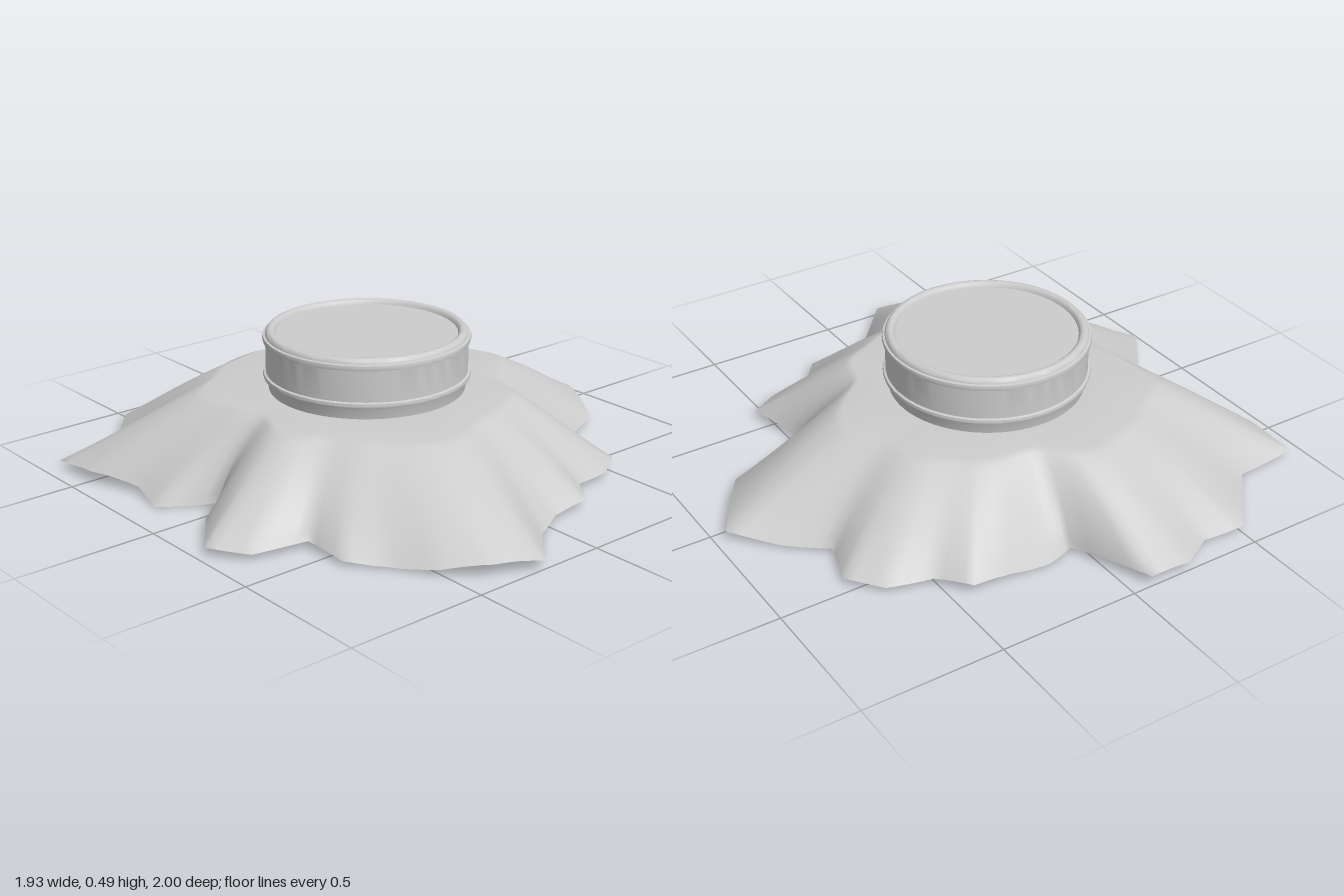
import * as THREE from 'three';
import { toCreasedNormals } from 'three/addons/utils/BufferGeometryUtils.js';

const CX = -0.07, CZ = -0.04; // axis of the lid
const CLOTH_TOP = 0.28;

// Ragged hem of the cloth, [x, z], once around
const HEM = [
  [-0.22, -1], [-0.07, -1], [0.04, -0.71], [0.14, -0.73], [0.43, -0.73], [0.51, -0.62],
  [0.66, -0.57], [0.75, -0.46], [0.70, -0.29], [0.83, -0.18], [0.96, -0.04], [0.79, 0.23],
  [0.61, 0.29], [0.48, 0.35], [0.54, 0.57], [0.43, 0.64], [0.29, 0.65], [0.20, 0.76],
  [0.06, 0.76], [-0.06, 0.82], [-0.23, 1], [-0.39, 0.94], [-0.51, 0.83], [-0.60, 0.68],
  [-0.69, 0.58], [-0.69, 0.41], [-0.88, 0.37], [-0.97, 0.25], [-0.85, 0.08], [-0.71, -0.04],
  [-0.88, -0.17], [-0.86, -0.30], [-0.93, -0.49], [-0.94, -0.68], [-0.71, -0.69],
  [-0.51, -0.93], [-0.35, -0.92],
];

// Hem split into short steps, as angle and radius about the lid axis
function hemPolar(steps) {
  const out = [];
  HEM.forEach(([x0, z0], i) => {
    const [x1, z1] = HEM[(i + 1) % HEM.length];
    for (let k = 0; k < steps; k++) {
      const x = x0 + (x1 - x0) * k / steps - CX, z = z0 + (z1 - z0) * k / steps - CZ;
      out.push({ a: Math.atan2(z, x), r: Math.hypot(x, z) });
    }
  });
  return out;
}

// Hem radius averaged over neighbouring directions
function smoothRadius(hem, angle, width) {
  let sum = 0, total = 0;
  for (const h of hem) {
    const d = Math.atan2(Math.sin(h.a - angle), Math.cos(h.a - angle)) / width;
    const w = Math.exp(-d * d);
    sum += h.r * w;
    total += w;
  }
  return sum / total;
}

// Draped cloth: flat disc that folds down from a wavy crest to the hem
function clothGeometry() {
  const hem = hemPolar(4), n = hem.length;
  const FLAT = 3, FALL = 12, rings = FLAT + FALL;
  const pos = [], index = [];
  const soft = hem.map(h => smoothRadius(hem, h.a, 0.13));
  for (let i = 0; i <= rings; i++) {
    hem.forEach((h, j) => {
      const crest = 0.42 + 0.4 * (soft[j] - 0.65);
      let r, y = CLOTH_TOP;
      if (i <= FLAT) {
        r = crest * i / FLAT;
      } else {
        const t = (i - FLAT) / FALL;
        const edge = soft[j] + (h.r - soft[j]) * t * t;
        const hemY = 0.022 + 0.012 * Math.sin(h.a * 7 + 1) + 0.01 * Math.sin(h.a * 11);
        r = crest + (edge - crest) * t;
        y += (hemY - CLOTH_TOP) * Math.pow(t, 1.2);
      }
      pos.push(CX + r * Math.cos(h.a), y, CZ + r * Math.sin(h.a));
    });
  }
  for (let i = 0; i < rings; i++) {
    for (let j = 0; j < n; j++) {
      const a = i * n + j, b = i * n + (j + 1) % n, c = a + n, d = b + n;
      if (i > 0) index.push(a, b, c);
      index.push(b, d, c);
    }
  }
  const g = new THREE.BufferGeometry();
  g.setAttribute('position', new THREE.Float32BufferAttribute(pos, 3));
  g.setIndex(index);
  g.computeVertexNormals();
  return g;
}

// Lid: skirt, two raised beads, rounded rim and a recessed top
function lidGeometry() {
  const profile = [
    [0.342, 0.275], [0.349, 0.315], [0.352, 0.322],
    [0.360, 0.325], [0.362, 0.332], [0.360, 0.339], [0.352, 0.342],
    [0.352, 0.452], [0.360, 0.454], [0.362, 0.463], [0.360, 0.472], [0.352, 0.474],
    [0.350, 0.482], [0.344, 0.489], [0.335, 0.492], [0.326, 0.490], [0.320, 0.485],
    [0.316, 0.474], [0, 0.474],
  ].map(([r, y]) => new THREE.Vector2(r, y));
  return toCreasedNormals(new THREE.LatheGeometry(profile, 72), 0.7);
}

export function createModel() {
  const grey = new THREE.MeshStandardMaterial({ color: 0xcccccc, side: THREE.DoubleSide });
  grey.name = 'pale grey';

  const cloth = new THREE.Mesh(clothGeometry(), grey);
  cloth.name = 'cloth';

  const lid = new THREE.Mesh(lidGeometry(), grey);
  lid.name = 'lid';
  lid.position.set(CX, 0, CZ);

  const model = new THREE.Group();
  model.name = 'clothCoveredLid';
  model.add(cloth, lid);
  return model;
}
